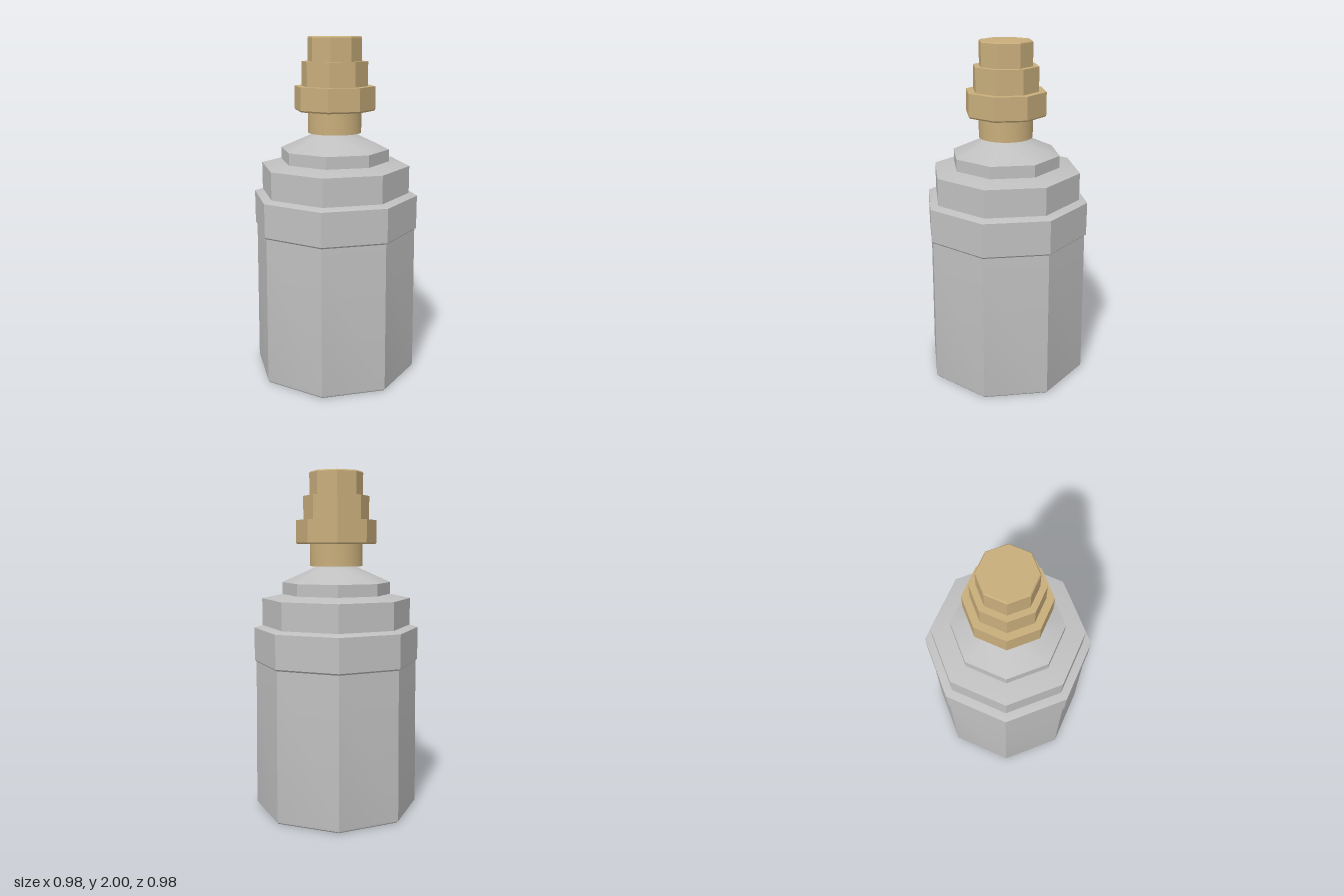
import * as THREE from 'three';
import { toCreasedNormals } from 'three/addons/utils/BufferGeometryUtils.js';

export function createModel() {
  const group = new THREE.Group();
  const steel = new THREE.MeshStandardMaterial({ name: 'greySteel', color: 0xc0c0c0 });
  const brass = new THREE.MeshStandardMaterial({ name: 'brass', color: 0xc8ad7b });

  // Turns a [radius, height] profile, listed bottom to top; eight sides put corners on the axes
  const turned = (name, profile, material, sides = 8) => {
    const points = profile.map(([r, y]) => new THREE.Vector2(r, y));
    const geometry = toCreasedNormals(new THREE.LatheGeometry(points, sides), 0.38);
    const mesh = new THREE.Mesh(geometry, material);
    mesh.name = name;
    group.add(mesh);
  };

  // Slightly tapered octagonal canister with a rounded-off foot
  turned('canister', [[0, 0], [0.478, 0], [0.486, 0.008], [0.488, 0.02], [0.479, 0.9], [0, 0.9]], steel);

  // Collar with a small chamfer underneath
  turned('collar', [[0, 0.885], [0.479, 0.885], [0.489, 0.895], [0.489, 1.09], [0.44, 1.105], [0, 1.105]], steel);

  // Stepped shoulders and the cone
  turned('lowerShoulder', [[0.44, 1.1], [0.44, 1.265], [0.32, 1.29], [0, 1.29]], steel);
  turned('upperShoulder', [[0.32, 1.28], [0.32, 1.36], [0.12, 1.45], [0, 1.455]], steel);

  // Round neck
  turned('neck', [[0, 1.455], [0.156, 1.455], [0.156, 1.59], [0, 1.59]], brass, 32);

  // Stepped nozzle
  turned('lowerNut', [[0, 1.583], [0.23, 1.583], [0.237, 1.592], [0.237, 1.722], [0, 1.722]], brass);
  turned('middleNut', [[0.193, 1.72], [0.193, 1.861], [0, 1.861]], brass);
  turned('nozzleTip', [[0.157, 1.86], [0.157, 1.993], [0.151, 2], [0, 2]], brass);

  return group;
}
